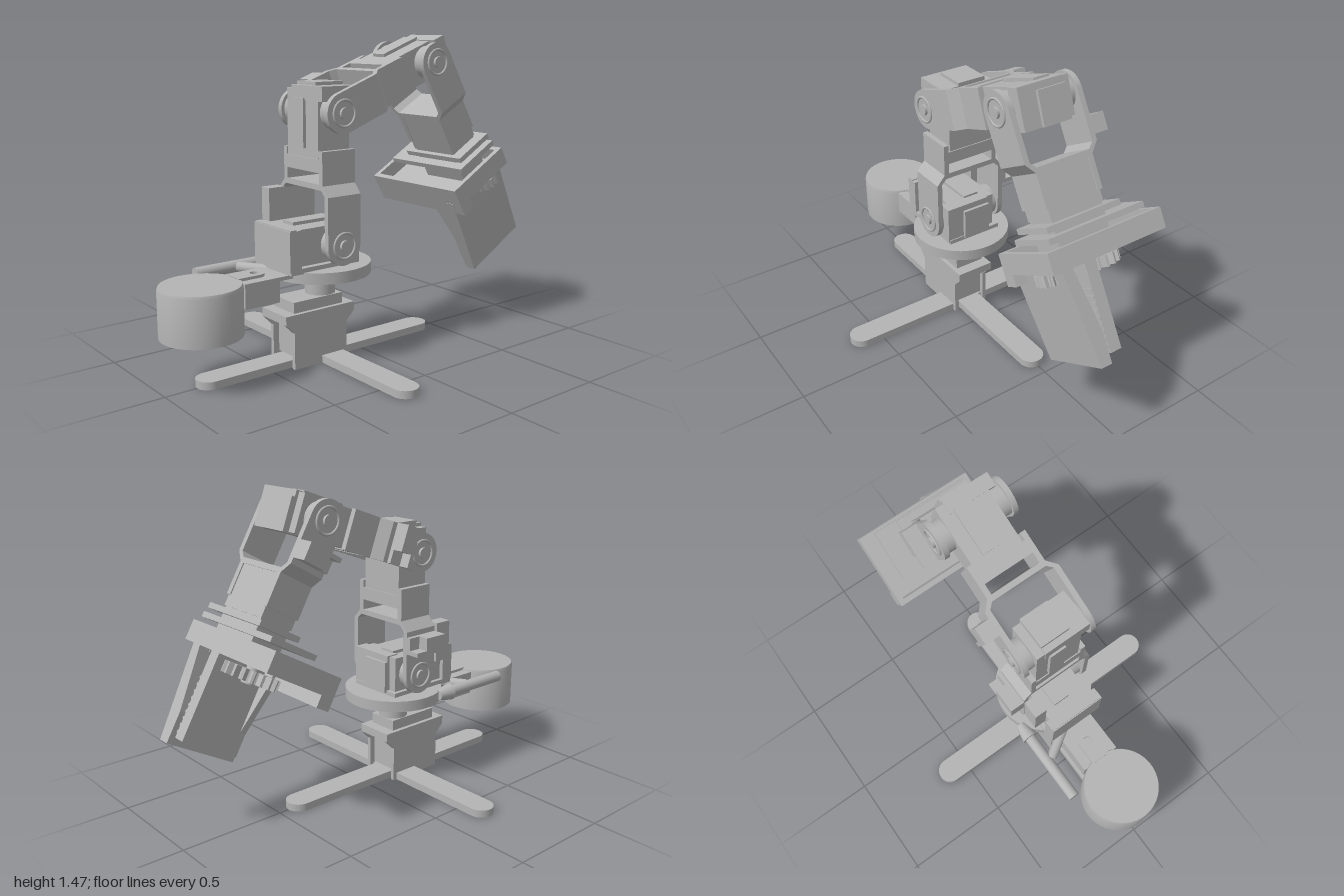
import * as THREE from 'three';
import { toCreasedNormals } from 'three/addons/utils/BufferGeometryUtils.js';

const grey = new THREE.MeshStandardMaterial({ color: 0xb4b4b4 });
grey.name = 'plain grey';

function add(parent, name, geo) {
  const m = new THREE.Mesh(geo, grey);
  m.name = name;
  parent.add(m);
  return m;
}
// Box given by its limits on each axis
function box(parent, name, x0, x1, y0, y1, z0, z1) {
  const g = new THREE.BoxGeometry(x1 - x0, y1 - y0, z1 - z0);
  g.translate((x0 + x1) / 2, (y0 + y1) / 2, (z0 + z1) / 2);
  return add(parent, name, g);
}
// Cylinder between two points
function rod(parent, name, a, b, r0, r1 = r0, seg = 40) {
  const p = new THREE.Vector3(...a), q = new THREE.Vector3(...b);
  const m = add(parent, name, new THREE.CylinderGeometry(r1, r0, p.distanceTo(q), seg));
  m.position.copy(p).lerp(q, 0.5);
  m.quaternion.setFromUnitVectors(new THREE.Vector3(0, 1, 0), q.sub(p).normalize());
  return m;
}
const poly = pts => new THREE.Shape(pts.map(p => new THREE.Vector2(...p)));
const extrude = (shape, depth) =>
  new THREE.ExtrudeGeometry(shape, { depth, bevelEnabled: false, curveSegments: 20 });
// Prism along x from a [z, y] outline
function prismX(parent, name, pts, x0, x1) {
  const g = extrude(poly(pts), x1 - x0);
  g.rotateY(-Math.PI / 2).translate(x1, 0, 0);
  return add(parent, name, g);
}
// Plate in xy with a round lower end about the joint axis
function roundPlate(parent, name, r, top, z0, z1) {
  const s = new THREE.Shape();
  s.moveTo(r, top).lineTo(-r, top).lineTo(-r, 0);
  s.absarc(0, 0, r, Math.PI, 2 * Math.PI, false);
  s.closePath();
  return add(parent, name, extrude(s, z1 - z0).translate(0, 0, z0));
}

// Motor with its shaft at the origin along z, its body running down -y
function motor() {
  const g = new THREE.Group();
  g.name = 'motor';
  box(g, 'motorBody', -0.085, 0.085, -0.26, 0.1, -0.12, 0.11);
  box(g, 'motorCap', -0.09, 0.09, 0.05, 0.115, -0.08, 0.145);
  box(g, 'motorEnd', -0.06, 0.09, 0.1, 0.13, -0.08, 0.06);
  box(g, 'motorRib', -0.1, 0.03, -0.16, 0.06, -0.06, 0.02);
  box(g, 'mountTab', -0.09, 0.09, -0.26, -0.2, -0.14, 0.14);
  rod(g, 'shaft', [0, 0, -0.17], [0, 0, 0.17], 0.075);
  return g;
}

// Fork with its joint at the origin, reaching up +y
function fork() {
  const g = new THREE.Group();
  g.name = 'fork';
  for (const s of [-1, 1]) {
    const z = s > 0 ? 0.16 : -0.185;
    roundPlate(g, 'forkPlate', 0.09, 0.225, z, z + 0.025);
    prismX(g, 'forkShoulder', [[0.16, 0.225], [0.185, 0.225], [0.145, 0.27], [0.145, 0.42],
      [0.12, 0.42], [0.12, 0.265]].map(([a, b]) => [a * s, b]), -0.09, 0.09);
    const ring = add(g, 'jointRing', new THREE.TorusGeometry(0.058, 0.006, 8, 40));
    ring.position.z = s * 0.187;
    rod(g, 'jointScrew', [0, 0, s * 0.18], [0, 0, s * 0.197], 0.025);
  }
  box(g, 'crossWall', -0.09, 0.09, 0.25, 0.275, -0.14, 0.14);
  // cable clip on the rear plate
  box(g, 'clipBase', -0.09, 0.09, 0.12, 0.2, -0.205, -0.18);
  box(g, 'clipLip', -0.09, 0.09, 0.12, 0.14, -0.255, -0.2);
  box(g, 'clipBlock', -0.09, 0.03, 0.14, 0.2, -0.255, -0.2);
  return g;
}
function armLink() {
  const g = fork();
  const m = motor();
  m.position.y = 0.585;
  g.add(m);
  return g;
}

// Toothed wheel lying in xz
function gear(parent, x, y, z, r, teeth) {
  const pts = [];
  for (let i = 0; i < teeth * 4; i++) {
    const a = (i / (teeth * 4)) * Math.PI * 2, q = i % 4 < 2 ? r : r * 0.78;
    pts.push([Math.cos(a) * q, Math.sin(a) * q]);
  }
  const s = poly(pts);
  s.holes.push(new THREE.Path().absarc(0, 0, r * 0.2, 0, Math.PI * 2, true));
  add(parent, 'gear', extrude(s, 0.05).rotateX(-Math.PI / 2)).position.set(x, y, z);
}

function gripper() {
  const g = new THREE.Group();
  g.name = 'gripper';
  // wrist
  box(g, 'wristBlock', -0.085, 0.085, 0.27, 0.47, -0.135, 0.135);
  box(g, 'wristFlange', -0.12, 0.1, 0.48, 0.505, -0.19, 0.19);
  box(g, 'wristNeck', -0.08, 0.08, 0.46, 0.65, -0.13, 0.13);
  box(g, 'wristPlate', -0.125, 0.125, 0.525, 0.55, -0.3, 0.2);
  // palm tray, open towards the wrist
  box(g, 'palmFloor', -0.137, 0.233, 0.64, 0.665, -0.37, 0.23);
  box(g, 'palmWallTop', -0.137, -0.112, 0.573, 0.665, -0.37, 0.23);
  box(g, 'palmWallBottom', 0.208, 0.233, 0.573, 0.665, -0.37, 0.23);
  box(g, 'palmWallRear', -0.137, 0.233, 0.573, 0.665, -0.37, -0.345);
  box(g, 'palmWallFront', -0.137, 0.233, 0.573, 0.665, 0.205, 0.23);
  box(g, 'palmLip', 0.165, 0.233, 0.66, 0.72, -0.37, 0.23);
  gear(g, 0.03, 0.68, -0.07, 0.125, 18);
  rod(g, 'gearHub', [0.03, 0.66, -0.07], [0.03, 0.74, -0.07], 0.03);
  gear(g, -0.01, 0.67, 0.16, 0.07, 12);
  // two flat fingers with flared roots
  prismX(g, 'outerFinger', [[0.075, 1.09], [0.13, 1.09], [0.18, 0.66], [0.13, 0.66], [0.075, 0.95]], -0.125, 0.235);
  prismX(g, 'innerFinger', [[0.0, 1.055], [0.057, 1.055], [0.057, 0.66], [0.0, 0.66]], -0.11, 0.18);
  prismX(g, 'innerGusset', [[0.0, 0.95], [0.005, 0.66], [-0.06, 0.66], [-0.05, 0.74]], 0.15, 0.18);
  for (let i = 0; i < 9; i++)
    box(g, 'gripRidge', -0.11, 0.18, 0.78 + i * 0.03, 0.792 + i * 0.03, 0.055, 0.063);
  return g;
}

function base(root) {
  const g = new THREE.Group();
  g.name = 'base';
  g.position.x = -0.2;
  root.add(g);
  // crossed feet with round ends
  for (const a of [0, Math.PI / 2]) {
    const s = new THREE.Shape();
    s.absarc(0.59, 0, 0.06, -Math.PI / 2, Math.PI / 2, false);
    s.absarc(-0.59, 0, 0.06, Math.PI / 2, Math.PI * 1.5, false);
    s.closePath();
    add(g, 'foot', extrude(s, 0.035).rotateX(-Math.PI / 2).rotateY(a));
  }
  // pedestal
  const side = poly([[-0.21, 0], [0.08, 0], [0.08, 0.17], [0.125, 0.215], [0.125, 0.255],
    [-0.255, 0.255], [-0.255, 0.215], [-0.21, 0.17]]);
  for (const z of [-0.095, 0.075])
    add(g, 'pedestalSide', extrude(side, 0.02).translate(0, 0, z));
  box(g, 'pedestalTop', -0.255, 0.125, 0.215, 0.255, -0.08, 0.08);
  box(g, 'pedestalMotor', -0.18, 0.055, 0.04, 0.22, -0.078, 0.078);
  box(g, 'pedestalCap', -0.2, 0.07, 0.25, 0.305, -0.075, 0.075);
  rod(g, 'turnCollar', [0, 0.3, 0], [0, 0.355, 0], 0.07);
  rod(g, 'turnShaft', [0, 0.35, 0], [0, 0.405, 0], 0.033);
  rod(g, 'turntable', [0, 0.403, 0], [0, 0.455, 0], 0.235, 0.235, 64);
}

function counterweight(root) {
  const g = new THREE.Group();
  g.name = 'counterweight';
  root.add(g);
  const can = new THREE.LatheGeometry([[0, 0.32], [0.055, 0.32], [0.055, 0.23], [0.18, 0.23],
    [0.18, 0.437], [0.175, 0.45], [0, 0.45]].map(p => new THREE.Vector2(...p)), 56);
  add(g, 'weightCan', toCreasedNormals(can, 0.6)).position.x = -0.82;
  const tab = new THREE.Shape();
  tab.moveTo(-0.66, -0.045).lineTo(-0.555, -0.045);
  tab.absarc(-0.555, 0, 0.045, -Math.PI / 2, Math.PI / 2, false);
  tab.lineTo(-0.66, 0.045).closePath();
  tab.holes.push(new THREE.Path().absarc(-0.555, 0, 0.02, 0, Math.PI * 2, true));
  add(g, 'weightTab', extrude(tab, 0.015).rotateX(-Math.PI / 2)).position.y = 0.44;
  box(g, 'weightBracket', -0.66, -0.485, 0.33, 0.43, -0.095, 0.095);
  box(g, 'weightArm', -0.66, -0.38, 0.425, 0.442, -0.095, 0.095);
  // nozzle pipe and its strut
  rod(g, 'pipe', [-0.73, 0.435, -0.21], [-0.38, 0.435, -0.21], 0.027);
  rod(g, 'pipeTip', [-0.38, 0.435, -0.21], [-0.3, 0.435, -0.21], 0.04, 0.025);
  rod(g, 'strut', [-0.52, 0.435, -0.19], [-0.42, 0.435, -0.03], 0.024);
}

export function createModel() {
  const root = new THREE.Group();
  root.name = 'robotArm';
  base(root);
  counterweight(root);

  // shoulder motor lying on the turntable
  const shoulder = motor();
  shoulder.name = 'shoulderMotor';
  shoulder.rotation.z = -Math.PI / 2;
  shoulder.position.set(-0.2, 0.555, 0);
  root.add(shoulder);
  box(root, 'motorBed', -0.455, -0.08, 0.45, 0.475, -0.14, 0.14);
  box(root, 'motorClamp', -0.455, -0.425, 0.46, 0.65, -0.14, 0.14);
  box(root, 'cableGuide', -0.385, -0.3, 0.6, 0.79, -0.19, -0.13);

  // chain of links: shoulder, elbow, wrist
  const hinge = [[-0.2, 0.555, 0], [-0.2, 1.14, -69.6], [0.35, 1.345, -150]];
  hinge.forEach(([x, y, deg], i) => {
    const link = i < 2 ? armLink() : fork();
    link.name = ['upperArm', 'forearm', 'hand'][i];
    if (i === 2) link.add(gripper());
    link.position.set(x, y, 0);
    link.rotation.z = THREE.MathUtils.degToRad(deg);
    root.add(link);
  });
  return root;
}
